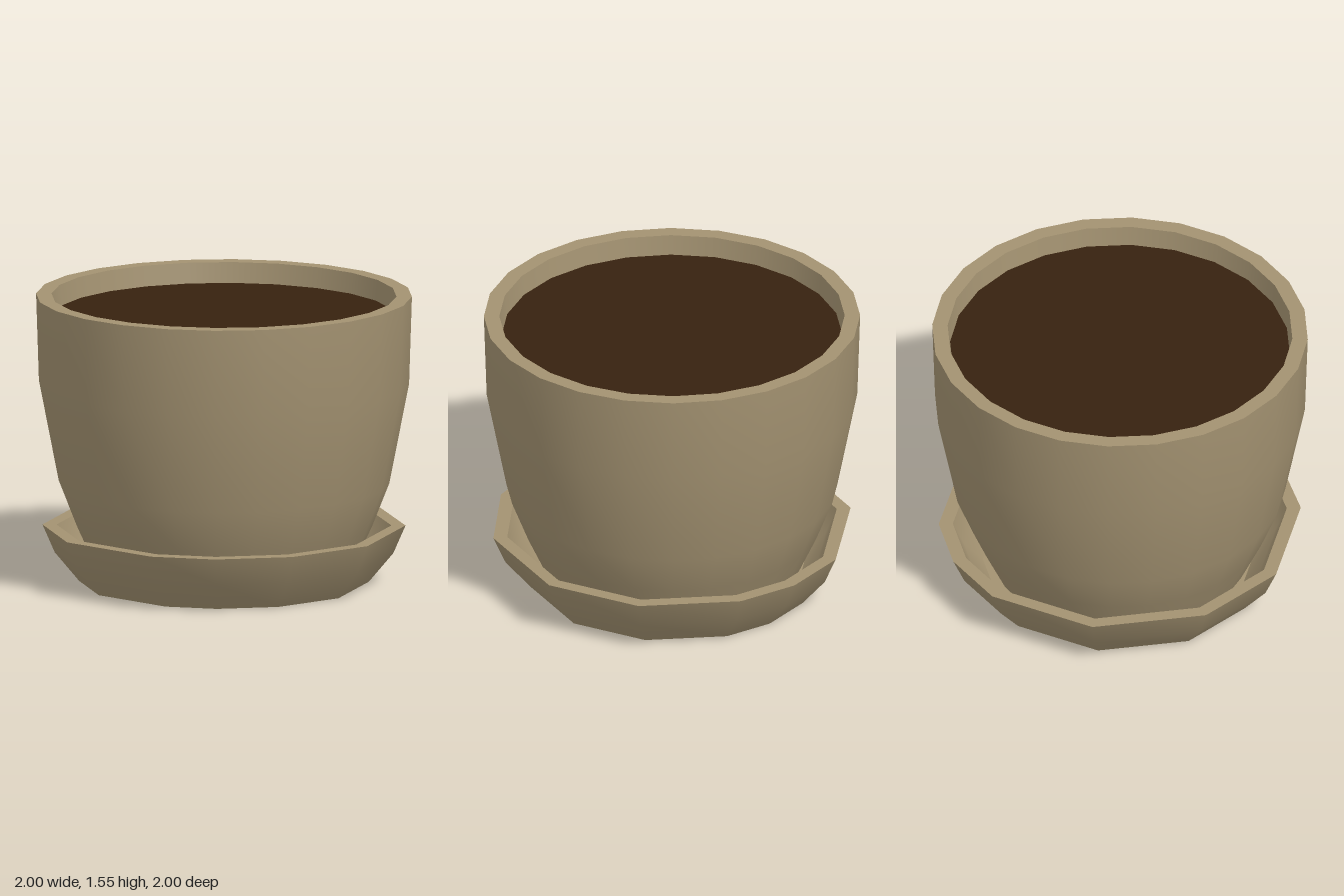
import * as THREE from 'three';

const clay = new THREE.MeshStandardMaterial({ color: 0xa39271 });
clay.name = 'clay';
const earth = new THREE.MeshStandardMaterial({ color: 0x37220f });
earth.name = 'earth';

// Uneven corner directions of the hand-cut saucer, in degrees from +x towards +z
const saucerCorners = [-47, -10, 20, 45, 66, 102, 133, 170, 206, 228, 248, 281];

// Turned surface from [radius, height] points; optional uneven corner angles
function turned(name, profile, material, segments, corners) {
  const points = profile.map(([r, y]) => new THREE.Vector2(r, y));
  const geometry = new THREE.LatheGeometry(points, segments);
  if (corners) {
    const pos = geometry.attributes.position;
    const normal = geometry.attributes.normal;
    const n = points.length;
    for (let i = 0; i < pos.count; i++) {
      const column = Math.floor(i / n);
      // the lathe turns the opposite way to the corner list
      const wanted = THREE.MathUtils.degToRad(corners[(2 * segments - column) % segments]);
      const r = points[i % n].x;
      const nr = Math.hypot(normal.getX(i), normal.getZ(i));
      const even = Math.PI * 2 * column / segments;
      const sign = Math.sign(normal.getX(i) * Math.sin(even) + normal.getZ(i) * Math.cos(even));
      pos.setX(i, r * Math.cos(wanted));
      pos.setZ(i, r * Math.sin(wanted));
      normal.setX(i, sign * nr * Math.cos(wanted));
      normal.setZ(i, sign * nr * Math.sin(wanted));
    }
  }
  const mesh = new THREE.Mesh(geometry, material);
  mesh.name = name;
  return mesh;
}

export function createModel() {
  const model = new THREE.Group();
  model.name = 'plantPot';

  // Pot: smooth wall, flat lip and hollow mouth
  const pot = new THREE.Group();
  pot.name = 'pot';
  pot.add(
    turned('potBase', [[0, 0.07], [0.68, 0.07]], clay, 24),
    turned('potWall', [[0.68, 0.07], [0.79, 0.31], [0.88, 0.54], [0.985, 1.08], [1, 1.55]], clay, 24),
    turned('potLip', [[1, 1.55], [0.918, 1.55]], clay, 24),
    turned('potInside', [[0.918, 1.55], [0.9, 1.4]], clay, 24)
  );

  // Soil disc just below the lip
  const soil = turned('soil', [[0.905, 1.44], [0, 1.44]], earth, 24);

  // Saucer: shallow dish with a flat lip
  const saucer = new THREE.Group();
  saucer.name = 'saucer';
  const parts = [
    ['saucerBase', [[0, 0], [0.77, 0]]],
    ['saucerWall', [[0.77, 0], [0.9, 0.155], [0.965, 0.305]]],
    ['saucerLip', [[0.965, 0.305], [0.89, 0.305]]],
    ['saucerInside', [[0.89, 0.305], [0.83, 0.17], [0.73, 0.06]]],
    ['saucerFloor', [[0.73, 0.06], [0, 0.06]]]
  ];
  for (const [name, profile] of parts) {
    saucer.add(turned(name, profile, clay, 12, saucerCorners));
  }

  model.add(pot, soil, saucer);
  return model;
}
